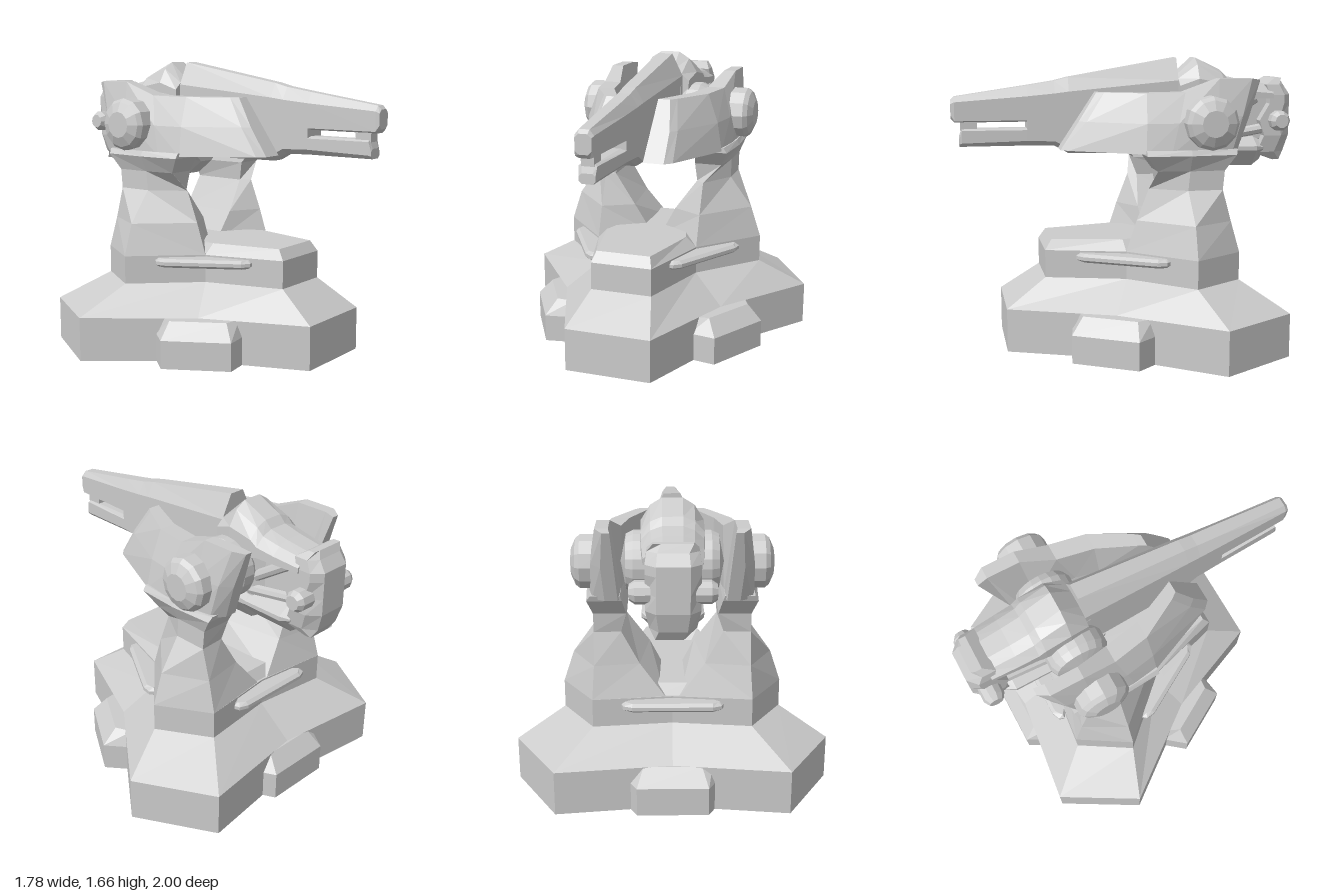
import * as THREE from 'three';

const mat = new THREE.MeshStandardMaterial({ color: 0xcccccc, flatShading: true });

// Skin a closed solid over rings of equal point count; winding is fixed from the signed volume.
function loft(name, rings) {
  const tris = [];
  const n = rings[0].length;
  for (let i = 0; i + 1 < rings.length; i++) {
    for (let j = 0; j < n; j++) {
      const k = (j + 1) % n;
      const [a, b, c, d] = [rings[i][j], rings[i][k], rings[i + 1][k], rings[i + 1][j]];
      tris.push([a, b, c], [a, c, d]);
    }
  }
  const cap = (ring, flip) => {
    const mid = [0, 1, 2].map(q => ring.reduce((s, p) => s + p[q], 0) / n);
    ring.forEach((p, j) => {
      const r = ring[(j + 1) % n];
      tris.push(flip ? [mid, r, p] : [mid, p, r]);
    });
  };
  cap(rings[0], true);
  cap(rings[rings.length - 1], false);
  const V = p => new THREE.Vector3(...p);
  const volume = tris.reduce((s, [a, b, c]) => s + V(a).dot(V(b).cross(V(c))), 0);
  const pos = tris.flatMap(([a, b, c]) => (volume > 0 ? [a, b, c] : [a, c, b])).flat();
  const geo = new THREE.BufferGeometry();
  geo.setAttribute('position', new THREE.Float32BufferAttribute(pos, 3));
  geo.computeVertexNormals();
  return named(name, geo);
}

function named(name, geo, x = 0, y = 0, z = 0) {
  const mesh = new THREE.Mesh(geo, mat);
  mesh.name = name;
  mesh.position.set(x, y, z);
  return mesh;
}

// Horizontal ring from x,z pairs
const level = (y, pts, s = 1) => pts.map(([x, z]) => [s * x, y, z]);

// Upright chamfered ring at depth z: half width, bottom, top, flat half width, top and bottom chamfer
const ring = (z, w, yb, yt, c, ct, cb) => [
  [-w, yb + cb, z], [-w, yt - ct, z], [-c, yt, z], [c, yt, z],
  [w, yt - ct, z], [w, yb + cb, z], [c, yb, z], [-c, yb, z],
];

// Upright ring with a rounder roof: half width, bottom, top, roof drop
const dome = (z, w, yb, yt, drop) => [
  [-w, yb, z], [-w, yt - drop, z], [-w * 0.7, yt - drop * 0.32, z], [-w * 0.33, yt, z],
  [w * 0.33, yt, z], [w * 0.7, yt - drop * 0.32, z], [w, yt - drop, z], [w, yb, z],
];

// Turned part whose axis runs along x; profile is radius, distance along x
function turned(name, profile, sides, x, y, z, s) {
  const geo = new THREE.LatheGeometry(profile.map(([r, h]) => new THREE.Vector2(r, h)), sides);
  geo.rotateZ(-s * Math.PI / 2);
  return named(name, geo, x * s, y, z);
}

// Straight rod between two points
function rod(name, a, b, r) {
  const A = new THREE.Vector3(...a), B = new THREE.Vector3(...b);
  const mesh = named(name, new THREE.CylinderGeometry(r, r, A.distanceTo(B), 8));
  mesh.position.copy(A).lerp(B, 0.5);
  mesh.quaternion.setFromUnitVectors(new THREE.Vector3(0, 1, 0), B.sub(A).normalize());
  return mesh;
}

function buildBase(g) {
  // Three lobed foot with sloped shoulder and upper tier
  const foot = [[-0.25, 0.72], [0.25, 0.72], [0.49, 0.13], [0.89, -0.4], [0.64, -0.83],
    [0, -0.75], [-0.64, -0.83], [-0.89, -0.4], [-0.49, 0.13]];
  const tier = [[-0.18, 0.49], [0.18, 0.49], [0.31, 0.04], [0.62, -0.3], [0.44, -0.59],
    [0, -0.54], [-0.44, -0.59], [-0.62, -0.3], [-0.31, 0.04]];
  g.add(loft('basePlinth', [level(0, foot), level(0.25, foot), level(0.41, tier), level(0.57, tier)]));
  const deck = [[-0.18, 0.49], [0.18, 0.49], [0.31, 0.04], [0.1, -0.53], [-0.1, -0.53], [-0.31, 0.04]];
  const deckTop = [[-0.16, 0.45], [0.16, 0.45], [0.25, 0.05], [0.08, -0.49], [-0.08, -0.49], [-0.25, 0.05]];
  g.add(loft('frontDeck', [level(0.57, deck), level(0.63, deckTop)]));

  // Buttress and rail in each of the three valleys
  [Math.PI / 3, -Math.PI / 3, Math.PI].forEach((angle, i) => {
    const valley = new THREE.Group();
    valley.name = 'valleyFittings';
    const out = i === 2 ? 0.675 : 0.715;
    const block = [[-0.25, 0.4], [-0.25, 0.57], [-0.195, out], [0.195, out], [0.25, 0.57], [0.25, 0.4]];
    const top = [[-0.22, 0.4], [-0.22, 0.55], [-0.16, out - 0.08], [0.16, out - 0.08], [0.22, 0.55], [0.22, 0.4]];
    valley.add(loft('buttress', [level(0, block), level(0.16, block), level(0.25, top)]));
    const plate = k => [[-0.28 + k, 0.42], [-0.27 + k, 0.45 - k], [-0.22, 0.47 - k], [0.22, 0.47 - k],
      [0.27 - k, 0.45 - k], [0.28 - k, 0.42], [0.12, 0.31], [-0.12, 0.31]];
    valley.add(loft('rail', [level(0.51, plate(0.02)), level(0.525, plate(0)),
      level(0.545, plate(0)), level(0.56, plate(0.02))]));
    valley.rotation.y = angle;
    valley.position.z = i === 2 ? -0.17 : -0.14;
    g.add(valley);
  });
}

function buildSide(g, s) {
  // Tapering support leg with a narrow neck and flared head
  g.add(loft('leg', [
    level(0.57, [[0.31, 0.04], [0.62, -0.3], [0.44, -0.59], [0.04, -0.54], [0.03, -0.15]], s),
    level(0.75, [[0.31, -0.02], [0.56, -0.3], [0.43, -0.54], [0.18, -0.5], [0.13, -0.12]], s),
    level(0.93, [[0.31, -0.09], [0.43, -0.29], [0.43, -0.49], [0.28, -0.48], [0.26, -0.14]], s),
    level(1.04, [[0.41, -0.12], [0.43, -0.3], [0.43, -0.5], [0.25, -0.5], [0.25, -0.12]], s),
    level(1.13, [[0.46, -0.05], [0.475, -0.3], [0.46, -0.56], [0.27, -0.56], [0.27, -0.05]], s),
    level(1.16, [[0.44, -0.05], [0.46, -0.3], [0.44, -0.57], [0.28, -0.57], [0.28, -0.05]], s),
  ]));

  // Swept shield arm: bottom z, top z, bottom y, top y, then inner and outer x at bottom and top
  const arm = [
    [0.4, 0.19, 1.15, 1.47, 0.1, 0.22, 0.12, 0.19],
    [0.36, 0.15, 1.15, 1.47, 0.12, 0.26, 0.14, 0.22],
    [-0.05, -0.07, 1.14, 1.47, 0.24, 0.43, 0.24, 0.34],
    [-0.19, -0.28, 1.14, 1.475, 0.27, 0.45, 0.28, 0.38],
    [-0.44, -0.47, 1.14, 1.55, 0.28, 0.45, 0.33, 0.4],
    [-0.54, -0.66, 1.14, 1.55, 0.28, 0.43, 0.33, 0.4],
    [-0.59, -0.72, 1.14, 1.54, 0.29, 0.36, 0.32, 0.36],
  ];
  g.add(loft('shieldArm', arm.map(([zb, zt, yb, yt, ib, ob, it, ot]) => {
    const at = (a, b) => a + (b - a) * 0.5;
    return [[s * ib, yb, zb], [s * ob, yb, zb], [s * (at(ob, ot) + 0.015), at(yb, yt), at(zb, zt)],
      [s * ot, yt, zt], [s * it, yt, zt]];
  })));

  // Pivot cap, inner hub and rear knob
  g.add(turned('pivotCap', [[0, 0], [0.15, 0], [0.15, 0.11], [0.13, 0.135], [0.075, 0.16], [0, 0.16]],
    12, 0.385, 1.31, -0.41, s));
  g.add(turned('innerHub', [[0, 0], [0.15, 0], [0.17, 0.03], [0.17, 0.1], [0.15, 0.14], [0, 0.17]],
    20, 0.11, 1.31, -0.41, s));
  g.add(turned('rearKnob', [[0, 0], [0.06, 0], [0.06, 0.08], [0.04, 0.11], [0, 0.11]],
    10, 0.11, 1.29, -0.91, s));

  // Exposed linkage behind the pivot
  g.add(rod('linkage', [0.1 * s, 1.28, -0.56], [0.1 * s, 1.42, -0.78], 0.03));
  g.add(rod('linkage', [0.1 * s, 1.19, -0.52], [0.1 * s, 1.24, -0.82], 0.03));
}

function buildGun(g) {
  // Main barrel with raised rear ridge
  g.add(loft('barrel', [
    ring(0.57, 0.07, 1.16, 1.505, 0.035, 0.06, 0.03),
    ring(0.41, 0.078, 1.155, 1.53, 0.035, 0.07, 0.03),
    ring(0.33, 0.082, 1.11, 1.55, 0.036, 0.08, 0.03),
    ring(-0.31, 0.11, 1.1, 1.66, 0.045, 0.13, 0.04),
  ]));
  // Split muzzle
  g.add(loft('upperJaw', [
    ring(1, 0.045, 1.32, 1.425, 0.025, 0.02, 0.02),
    ring(0.98, 0.052, 1.298, 1.445, 0.028, 0.03, 0.01),
    ring(0.57, 0.07, 1.298, 1.505, 0.035, 0.06, 0.01),
  ]));
  g.add(loft('lowerJaw', [
    ring(0.955, 0.045, 1.16, 1.215, 0.03, 0.015, 0.015),
    ring(0.94, 0.05, 1.16, 1.262, 0.032, 0.01, 0.02),
    ring(0.57, 0.07, 1.16, 1.262, 0.035, 0.01, 0.03),
  ]));
  g.add(named('muzzleCore', new THREE.BoxGeometry(0.07, 0.06, 0.095), 0, 1.28, 0.9));

  // Inner body, domed hood and lower tank
  g.add(loft('gunBody', [
    ring(-0.28, 0.11, 1.08, 1.52, 0.06, 0.05, 0.06),
    ring(-0.55, 0.12, 1.08, 1.52, 0.06, 0.05, 0.06),
    ring(-0.6, 0.075, 1.12, 1.5, 0.05, 0.04, 0.04),
    ring(-0.86, 0.075, 1.14, 1.48, 0.05, 0.04, 0.04),
  ]));
  g.add(loft('hood', [
    dome(-0.31, 0.15, 1.4, 1.56, 0.06),
    dome(-0.42, 0.168, 1.4, 1.66, 0.12),
    dome(-0.57, 0.168, 1.41, 1.59, 0.08),
    dome(-0.61, 0.165, 1.42, 1.55, 0.07),
    dome(-0.72, 0.16, 1.42, 1.525, 0.06),
    dome(-0.88, 0.15, 1.42, 1.5, 0.05),
  ]));
  g.add(loft('lowerTank', [
    ring(-0.2, 0.11, 1.07, 1.18, 0.05, 0.04, 0.05),
    ring(-0.3, 0.165, 0.99, 1.2, 0.055, 0.05, 0.13),
    ring(-0.49, 0.165, 0.99, 1.2, 0.055, 0.05, 0.13),
    ring(-0.54, 0.16, 1.02, 1.2, 0.06, 0.06, 0.1),
    ring(-0.78, 0.16, 1.015, 1.2, 0.06, 0.06, 0.1),
    ring(-0.83, 0.13, 1.05, 1.18, 0.05, 0.05, 0.07),
  ]));

  // Curved rear shield: height, front z, back z, half width
  const shield = [[1.05, -0.9, -0.94, 0.09], [1.1, -0.79, -0.97, 0.12], [1.2, -0.83, -1, 0.14],
    [1.29, -0.8, -1, 0.14], [1.39, -0.86, -1, 0.14], [1.44, -0.86, -1, 0.14], [1.5, -0.84, -0.96, 0.13],
    [1.54, -0.9, -0.94, 0.1]];
  g.add(loft('rearShield', shield.map(([y, f, b, w]) => level(y, [
    [-w, f], [w, f], [w, (f + b) / 2 - 0.02], [w * 0.6, b], [-w * 0.6, b], [-w, (f + b) / 2 - 0.02]]))));
}

export function createModel() {
  const group = new THREE.Group();
  group.name = 'turret';
  buildBase(group);
  [1, -1].forEach(s => buildSide(group, s));
  buildGun(group);
  return group;
}
